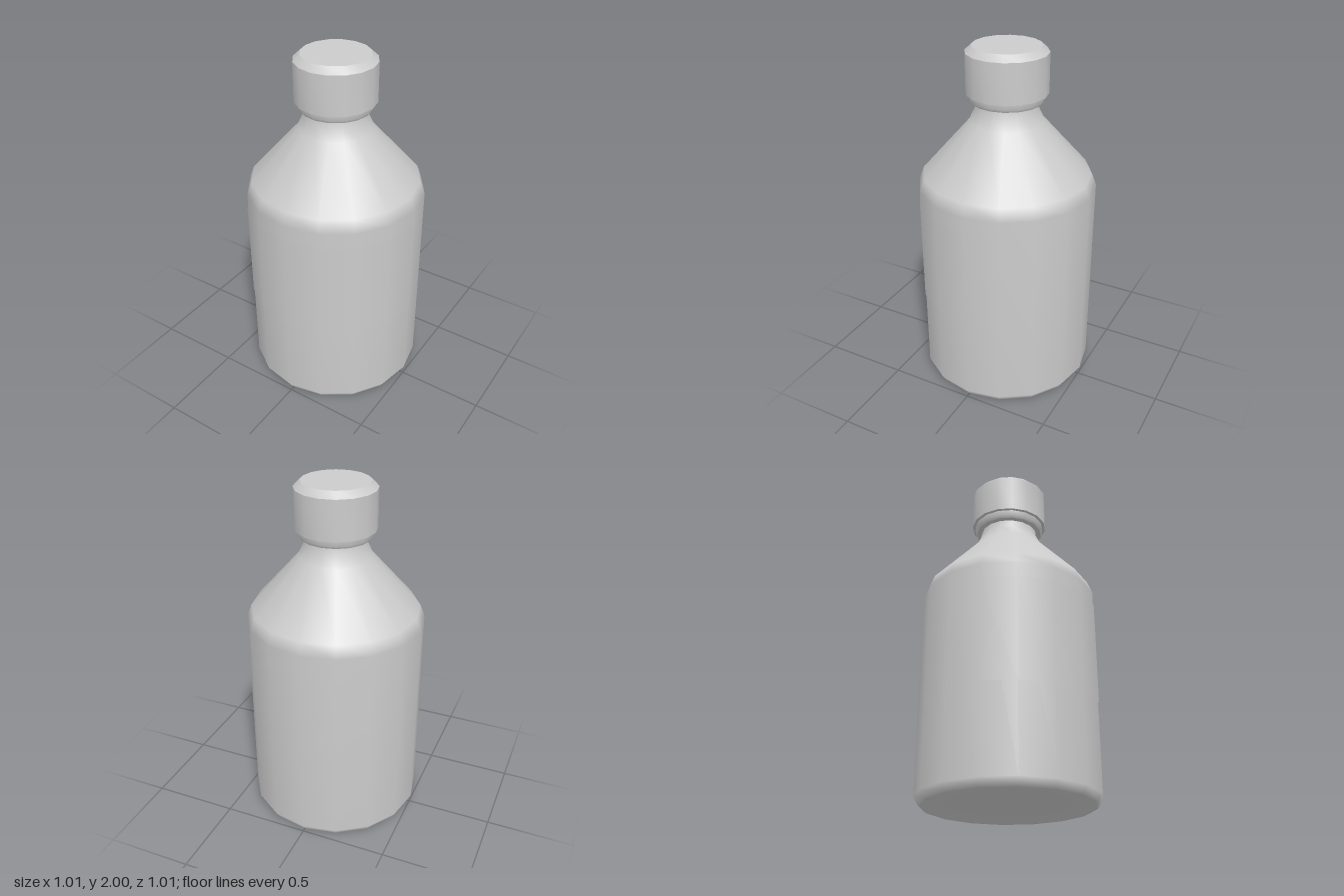
import * as THREE from 'three';
import { toCreasedNormals } from 'three/addons/utils/BufferGeometryUtils.js';

const SIDES = 16;

export function createModel() {
  const bottle = new THREE.Group();
  bottle.name = 'bottle';
  const grey = new THREE.MeshStandardMaterial({ color: 0xcccccc });
  const thin = new THREE.MeshStandardMaterial({ color: 0xcccccc, side: THREE.DoubleSide });

  // Turns an [r, y] profile, listed from the bottom up, around the vertical axis
  const lathe = (profile, sides = SIDES, start = 0, sweep = Math.PI * 2) =>
    new THREE.LatheGeometry(profile.map(([r, y]) => new THREE.Vector2(r, y)), sides, start, sweep);

  const add = (name, geometry, material = grey) => {
    const mesh = new THREE.Mesh(geometry, material);
    mesh.name = name;
    bottle.add(mesh);
  };

  // Body with dished base, sloping shoulder and neck
  add('body', lathe([
    [0, 0.03], [0.34, 0.025], [0.41, 0.005], [0.47, 0], [0.48, 0.006], [0.505, 0.045],
    [0.505, 1.21], [0.478, 1.28], [0.208, 1.585], [0.173, 1.66], [0.168, 1.705],
  ]));

  // Rounded bead below the cap
  add('neckRing', toCreasedNormals(lathe([
    [0.16, 1.695], [0.198, 1.695], [0.208, 1.71], [0.208, 1.75], [0.16, 1.75],
  ]), 0.9));

  // Cap with a chamfered rim
  add('cap', toCreasedNormals(lathe([
    [0, 1.742], [0.227, 1.742], [0.227, 1.966], [0.19, 2], [0, 2],
  ]), 0.6));

  // Label wrapped over seven of the sides
  const step = (Math.PI * 2) / SIDES;
  add('label', lathe([[0.51, 0.53], [0.51, 1.12]], 7, -3 * step, 7 * step), thin);

  // Offset that centres the bottle together with its label
  bottle.children.forEach((part) => part.position.set(-0.003, 0, -0.003));
  return bottle;
}
